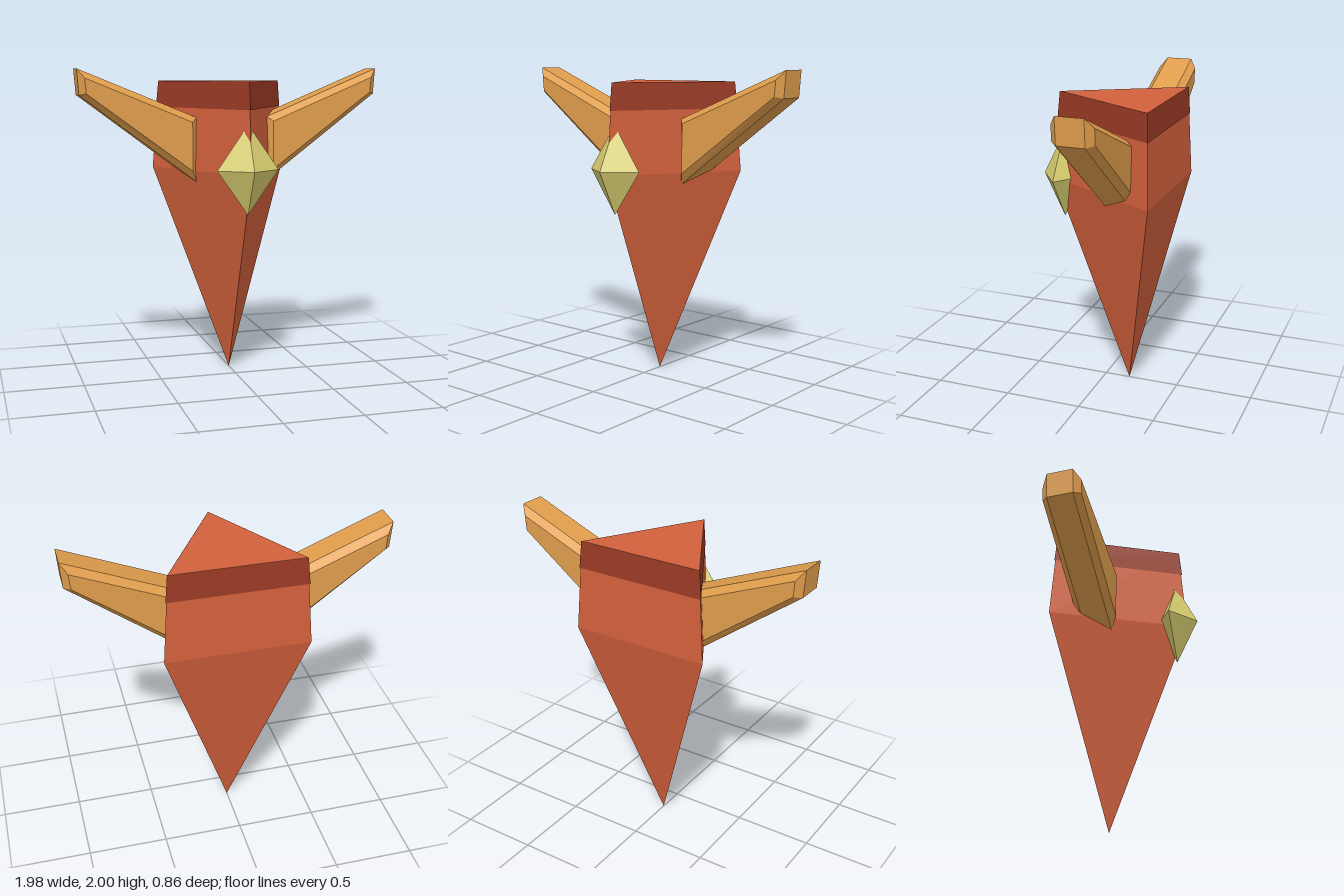
import * as THREE from 'three';

const flat = (name, color, side = THREE.FrontSide) => {
  const m = new THREE.MeshStandardMaterial({ color, flatShading: true, side });
  m.name = name;
  return m;
};

// Skins a stack of counter-clockwise rings and closes both ends.
function loft(rings) {
  const n = rings[0].length, index = [];
  for (let r = 0; r < rings.length - 1; r++) {
    for (let i = 0; i < n; i++) {
      const a = r * n + i, b = r * n + (i + 1) % n;
      index.push(a, b, b + n, a, b + n, a + n);
    }
  }
  const top = (rings.length - 1) * n;
  for (let i = 1; i < n - 1; i++) {
    index.push(0, i + 1, i, top, top + i, top + i + 1);
  }
  const g = new THREE.BufferGeometry();
  g.setAttribute('position', new THREE.Float32BufferAttribute(rings.flat(2), 3));
  g.setIndex(index);
  const out = g.toNonIndexed();
  out.computeVertexNormals();
  return out;
}

export function createModel() {
  const model = new THREE.Group();
  const red = flat('terracotta', 0xd2603c);
  const darkRed = flat('dark red', 0x983a24, THREE.DoubleSide);
  const gold = flat('gold', 0xdf9d4c);
  const yellow = flat('pale yellow', 0xd8ce70);

  const add = (name, geometry, material, x = 0, y = 0, z = 0) => {
    const mesh = new THREE.Mesh(geometry, material);
    mesh.name = name;
    mesh.position.set(x, y, z);
    model.add(mesh);
    return mesh;
  };

  // Three-sided body: long point below, slightly tapered block above
  const bodyZ = -0.167;
  add('bodyPoint', new THREE.CylinderGeometry(0.525, 0, 1.345, 3, 1, true), red, 0, 0.6775, bodyZ);
  add('bodyTop', new THREE.CylinderGeometry(0.477, 0.525, 0.57, 3), red, 0, 1.635, bodyZ);
  add('topBand', new THREE.CylinderGeometry(0.48, 0.498, 0.17, 3, 1, true), darkRed, 0, 1.834, bodyZ);

  // Gem set into the front edge
  add('gem', new THREE.OctahedronGeometry(1).scale(0.197, 0.28, 0.14), yellow, 0, 1.38, 0.287);

  // Bevelled wings: full outline in the middle, inset outline on both faces
  const outline = [[0.235, 1.275], [0.98, 1.835], [0.992, 2], [0.235, 1.69]];
  const inset = [[0.27, 1.35], [0.94, 1.845], [0.948, 1.942], [0.27, 1.662]];
  for (const side of [1, -1]) {
    const ring = (points, z) => {
      const r = points.map(([x, y]) => [x * side, y, z]);
      return side > 0 ? r : r.reverse();
    };
    const rings = [ring(inset, -0.295), ring(outline, -0.253), ring(outline, -0.083), ring(inset, -0.042)];
    add(side > 0 ? 'leftWing' : 'rightWing', loft(rings), gold);
  }
  return model;
}
